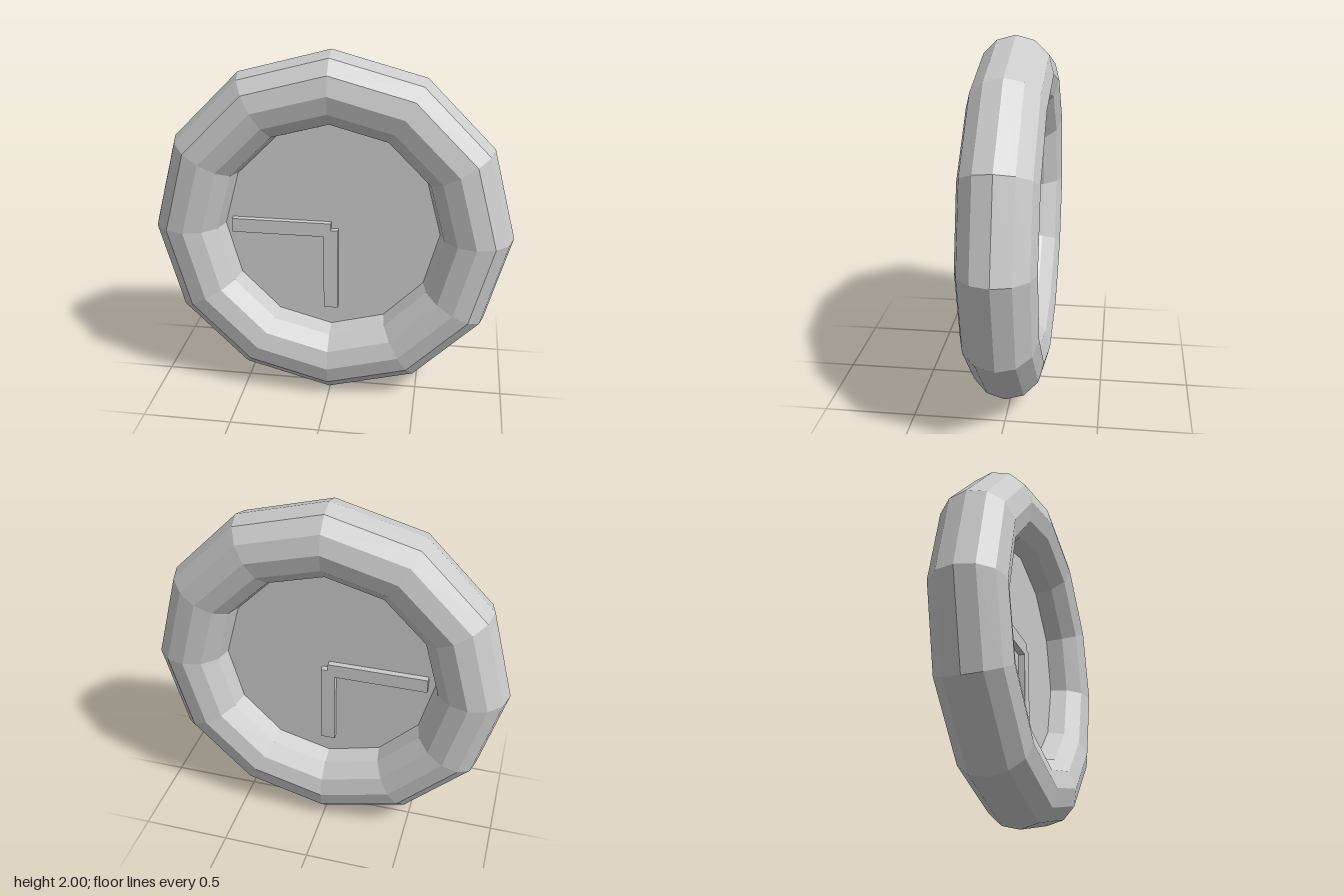
import * as THREE from 'three';

export function createModel() {
  const group = new THREE.Group();
  const material = new THREE.MeshStandardMaterial({ color: 0xcccccc, flatShading: true });

  const add = (name, geometry, x = 0, y = 1, z = 0) => {
    const mesh = new THREE.Mesh(geometry, material);
    mesh.name = name;
    mesh.position.set(x, y, z);
    group.add(mesh);
    return mesh;
  };

  // Faceted round frame
  add('frame', new THREE.TorusGeometry(0.8, 0.2, 12, 12));

  // Thin dial closing the ring, its rim tucked into the frame
  add('dial', new THREE.CylinderGeometry(0.61, 0.61, 0.01, 12).rotateX(Math.PI / 2));

  // Two hands that stand out on both faces of the dial
  const thickness = 0.08;
  const longLength = 0.56, shortLength = 0.48;
  add('longHand', new THREE.BoxGeometry(longLength, thickness, thickness), -longLength / 2);
  add('shortHand', new THREE.BoxGeometry(thickness, shortLength, thickness), 0, 1 - shortLength / 2);

  return group;
}
